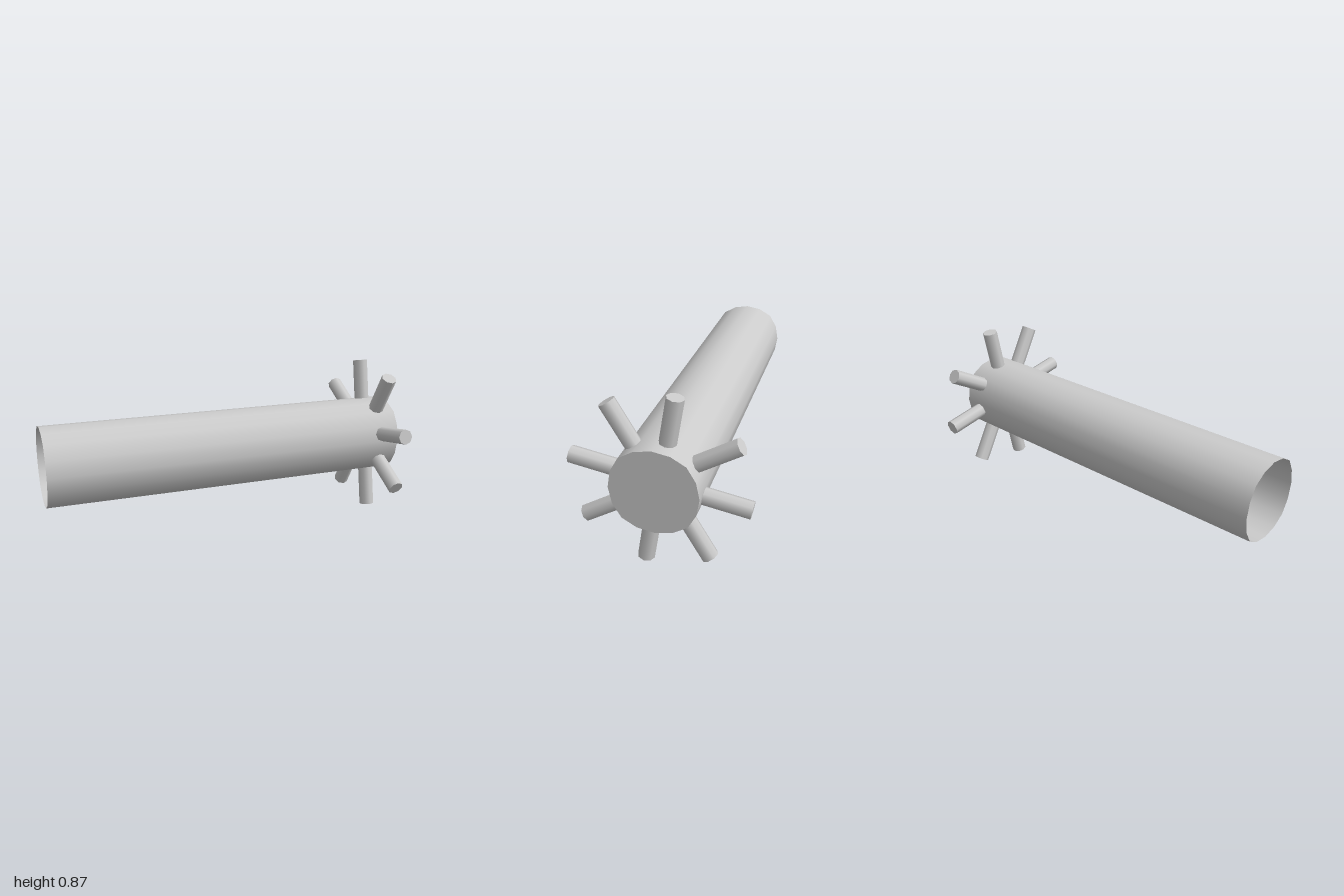
import * as THREE from 'three';

const CENTRE_Y = 0.436;

// Slightly squarish 16-sided ring, built from one quarter turned four times
function makeRing() {
  const quarter = [[0, 0.211], [0.084, 0.196], [0.155, 0.155], [0.196, 0.084]];
  const ring = [];
  for (let q = 0; q < 4; q++) {
    for (const [x, y] of quarter) {
      ring.push(new THREE.Vector2(x, y).rotateAround(new THREE.Vector2(), -q * Math.PI / 2));
    }
  }
  return ring;
}

export function createModel() {
  const model = new THREE.Group();
  const material = new THREE.MeshStandardMaterial({ color: 0xcccccc, side: THREE.DoubleSide });
  const ring = makeRing();
  const add = (name, geometry) => {
    const mesh = new THREE.Mesh(geometry, material);
    mesh.name = name;
    model.add(mesh);
    return mesh;
  };

  // Long smooth tube, open at the -x end
  const tube = new THREE.CylinderGeometry(0.21, 0.21, 2, 16, 1, true);
  tube.rotateZ(-Math.PI / 2);
  const pos = tube.attributes.position;
  for (let i = 0; i < pos.count; i++) {
    const p = ring[(i % 17) % 16];
    pos.setY(i, -p.x);
    pos.setZ(i, p.y);
  }
  add('tube', tube).position.y = CENTRE_Y;

  // Flat cap closing the +x end
  const cap = new THREE.ShapeGeometry(new THREE.Shape(ring));
  cap.rotateY(Math.PI / 2);
  add('endCap', cap).position.set(1, CENTRE_Y, 0);

  // Eight pegs, each standing on every other face of the tube
  const length = 0.227;
  const peg = new THREE.CylinderGeometry(0.042, 0.042, length, 8);
  peg.translate(0, length / 2, 0);
  for (let k = 0; k < 16; k += 2) {
    const a = ring[k], b = ring[k + 1];
    const mesh = add('peg' + (k / 2 + 1), peg);
    mesh.position.set(0.9, CENTRE_Y + (a.y + b.y) / 2, -(a.x + b.x) / 2);
    mesh.rotation.x = -Math.atan2(a.y - b.y, b.x - a.x);
  }
  return model;
}
